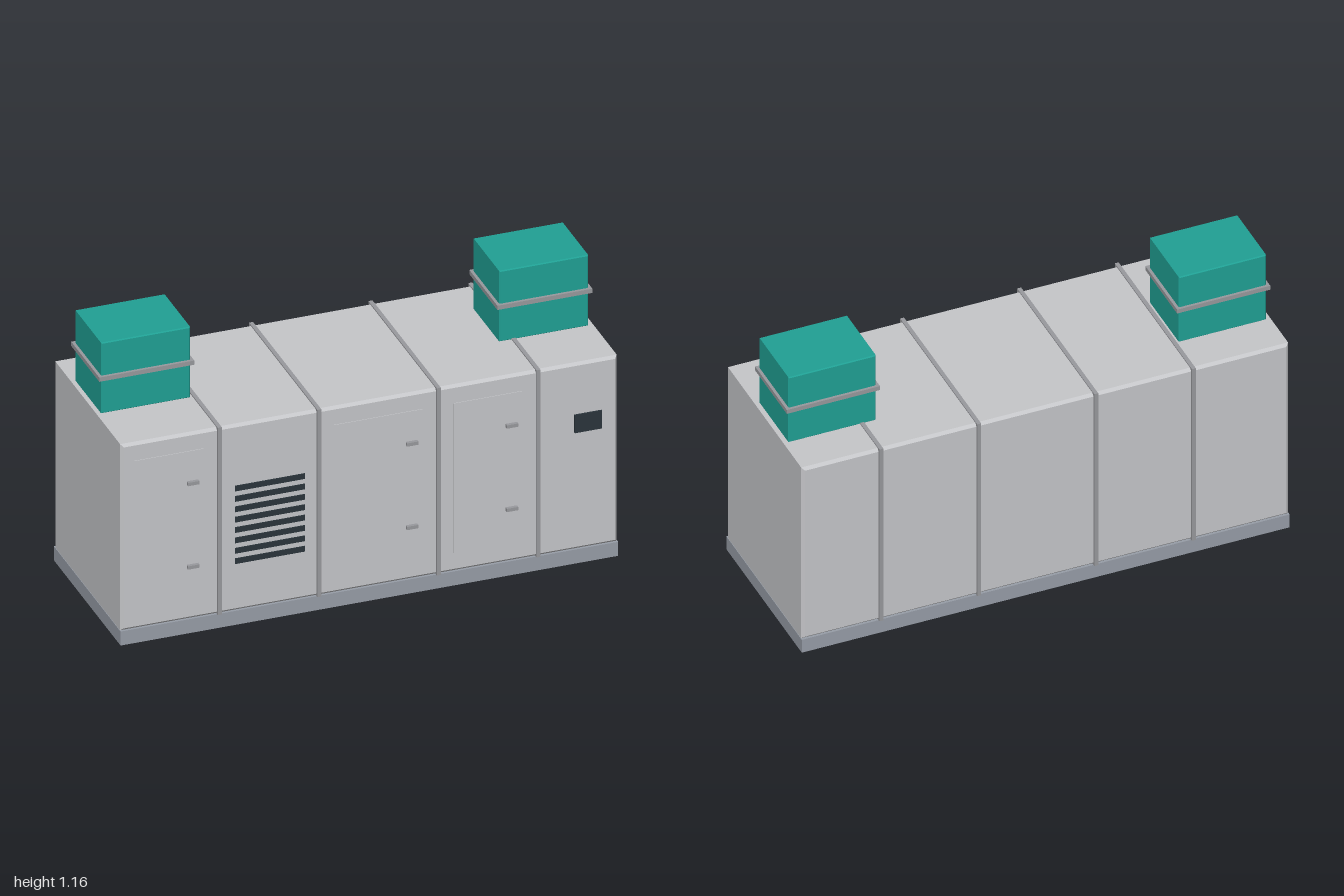
import * as THREE from 'three';

const mat = (name, color) => {
  const m = new THREE.MeshStandardMaterial({ color });
  m.name = name;
  return m;
};

export function createModel() {
  const model = new THREE.Group();
  model.name = 'equipmentEnclosure';

  const panelGrey = mat('panelGrey', 0xc5c6c9);
  const baseGrey = mat('baseGrey', 0x979da7);
  const trimGrey = mat('trimGrey', 0x98999d);
  const teal = mat('teal', 0x20a094);
  const dark = mat('dark', 0x2a343b);

  // Box given by its min and max on each axis; bevel > 0 chamfers all edges
  function block(name, material, [x0, x1], [y0, y1], [z0, z1], bevel = 0, parent = model) {
    const w = x1 - x0, h = y1 - y0, d = z1 - z0;
    let geo;
    if (bevel) {
      const a = w / 2 - bevel, b = h / 2 - bevel;
      const shape = new THREE.Shape([
        new THREE.Vector2(-a, -b), new THREE.Vector2(a, -b),
        new THREE.Vector2(a, b), new THREE.Vector2(-a, b),
      ]);
      geo = new THREE.ExtrudeGeometry(shape, {
        depth: d - 2 * bevel, bevelEnabled: true, bevelSegments: 1,
        bevelSize: bevel, bevelThickness: bevel,
      });
      geo.translate(0, 0, bevel - d / 2);
    } else {
      geo = new THREE.BoxGeometry(w, h, d);
    }
    const mesh = new THREE.Mesh(geo, material);
    mesh.name = name;
    mesh.position.set((x0 + x1) / 2, (y0 + y1) / 2, (z0 + z1) / 2);
    parent.add(mesh);
    return mesh;
  }

  const front = 0.355, back = -0.36;

  // Skid and main housing
  block('baseSkid', baseGrey, [-1, 1], [0, 0.06], [back, front]);
  block('housing', panelGrey, [-0.998, 0.998], [0.06, 0.858], [back, front], 0.011);

  // Joint strips wrapping the housing between bays
  for (const x of [-0.604, -0.204, 0.276, 0.677]) {
    block('jointStrip', trimGrey, [x - 0.008, x + 0.008], [0.06, 0.863], [back - 0.008, front + 0.008]);
  }

  // Access doors, each with two latches near its right edge
  for (const [x0, x1] of [[-0.945, -0.665], [-0.145, 0.215], [0.338, 0.616]]) {
    const door = new THREE.Group();
    door.name = 'accessDoor';
    model.add(door);
    block('doorPanel', panelGrey, [x0, x1], [0.14, 0.782], [front - 0.002, front + 0.003], 0, door);
    for (const y of [0.29, 0.648]) {
      block('latch', trimGrey, [x1 - 0.07, x1 - 0.024], [y - 0.007, y + 0.007], [front, front + 0.017], 0, door);
    }
  }

  // Louvred air intake
  for (let i = 0; i < 8; i++) {
    const y = 0.263 + i * 0.0445;
    block('louvre', dark, [-0.541, -0.26], [y, y + 0.023], [front - 0.002, front + 0.004]);
  }

  // Control display
  block('controlDisplay', dark, [0.823, 0.932], [0.563, 0.64], [front - 0.002, front + 0.007]);

  // Roof hoods with a flange around each
  for (const x of [-0.801, 0.799]) {
    const hood = new THREE.Group();
    hood.name = 'roofHood';
    model.add(hood);
    block('hoodBox', teal, [x - 0.179, x + 0.179], [0.856, 1.16], [-0.184, 0.094], 0.004, hood);
    block('hoodFlange', trimGrey, [x - 0.191, x + 0.191], [1.002, 1.02], [-0.195, 0.106], 0, hood);
  }

  return model;
}
